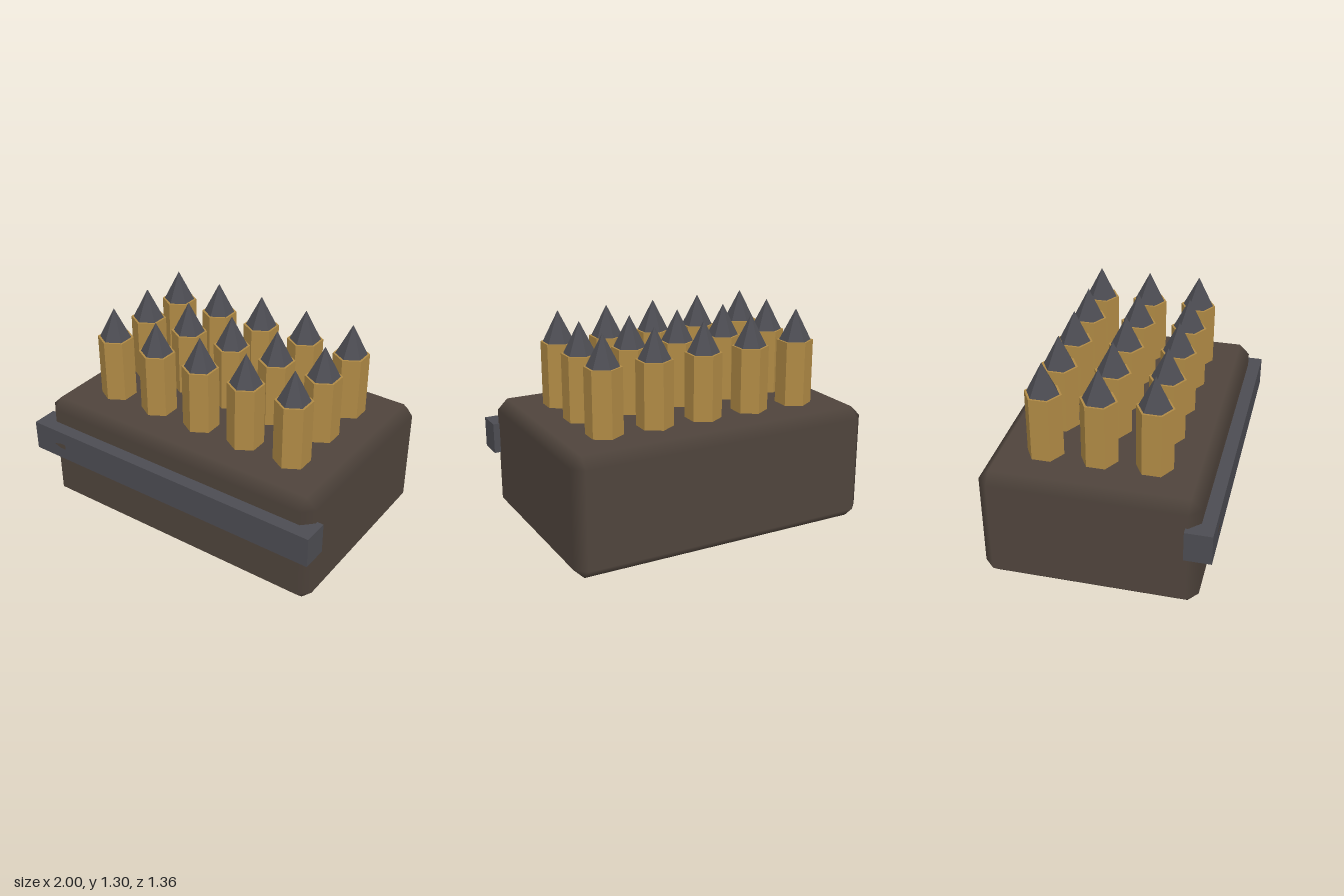
import * as THREE from 'three';
import { ConvexGeometry } from 'three/addons/geometries/ConvexGeometry.js';

function material(name, color, flatShading = false) {
  const m = new THREE.MeshStandardMaterial({ color, flatShading });
  m.name = name;
  return m;
}

// Box with single-cut bevels; normals follow the flat sides so the bevels blend smoothly
function beveledBox(w, h, d, bevel) {
  const half = [w / 2, h / 2, d / 2];
  const points = [];
  for (const sx of [-1, 1]) for (const sy of [-1, 1]) for (const sz of [-1, 1]) {
    const s = [sx, sy, sz];
    for (let axis = 0; axis < 3; axis++) {
      points.push(new THREE.Vector3(...s.map((v, i) => v * (half[i] - (i === axis ? 0 : bevel)))));
    }
  }
  const geo = new ConvexGeometry(points);
  const p = geo.attributes.position, n = geo.attributes.normal;
  for (let i = 0; i < p.count; i++) {
    const c = [p.getX(i), p.getY(i), p.getZ(i)];
    n.setXYZ(i, ...c.map((v, a) => (Math.abs(v) > half[a] - bevel / 2 ? Math.sign(v) : 0)));
  }
  return geo;
}

export function createModel() {
  const model = new THREE.Group();
  model.name = 'ammunitionPouch';

  const leather = material('dark brown leather', 0x4f443c);
  const brass = material('brass', 0xb08a45, true);
  const steel = material('dark steel', 0x4c4c52, true);

  function add(name, geometry, mat, x, y, z, parent = model) {
    const mesh = new THREE.Mesh(geometry, mat);
    mesh.name = name;
    mesh.position.set(x, y, z);
    parent.add(mesh);
    return mesh;
  }

  // Case and the bar across its front
  add('case', beveledBox(1.92, 0.72, 1.28, 0.064), leather, 0, 0.36, -0.04);
  add('frontBar', new THREE.BoxGeometry(2, 0.19, 0.16), steel, 0, 0.475, 0.6);

  // Small mark on the bar
  const mark = new THREE.Shape([
    [-0.045, 0], [0, -0.016], [0.04, -0.016], [0.04, 0.016], [0, 0.016],
  ].map(([x, y]) => new THREE.Vector2(x, y)));
  add('barMark', new THREE.ShapeGeometry(mark), leather, -0.8, 0.47, 0.681);

  // Three rows of five pointed cartridges
  const shell = new THREE.CylinderGeometry(0.11, 0.11, 0.415, 6);
  const tip = new THREE.ConeGeometry(0.096, 0.19, 6);
  for (let row = 0; row < 3; row++) {
    for (let col = 0; col < 5; col++) {
      const cartridge = new THREE.Group();
      cartridge.name = `cartridge${row * 5 + col + 1}`;
      cartridge.position.set((col - 2) * 0.32, 0.7, -0.36 + row * 0.32);
      add('shell', shell, brass, 0, 0.2075, 0, cartridge);
      add('tip', tip, steel, 0, 0.51, 0, cartridge);
      model.add(cartridge);
    }
  }
  return model;
}
